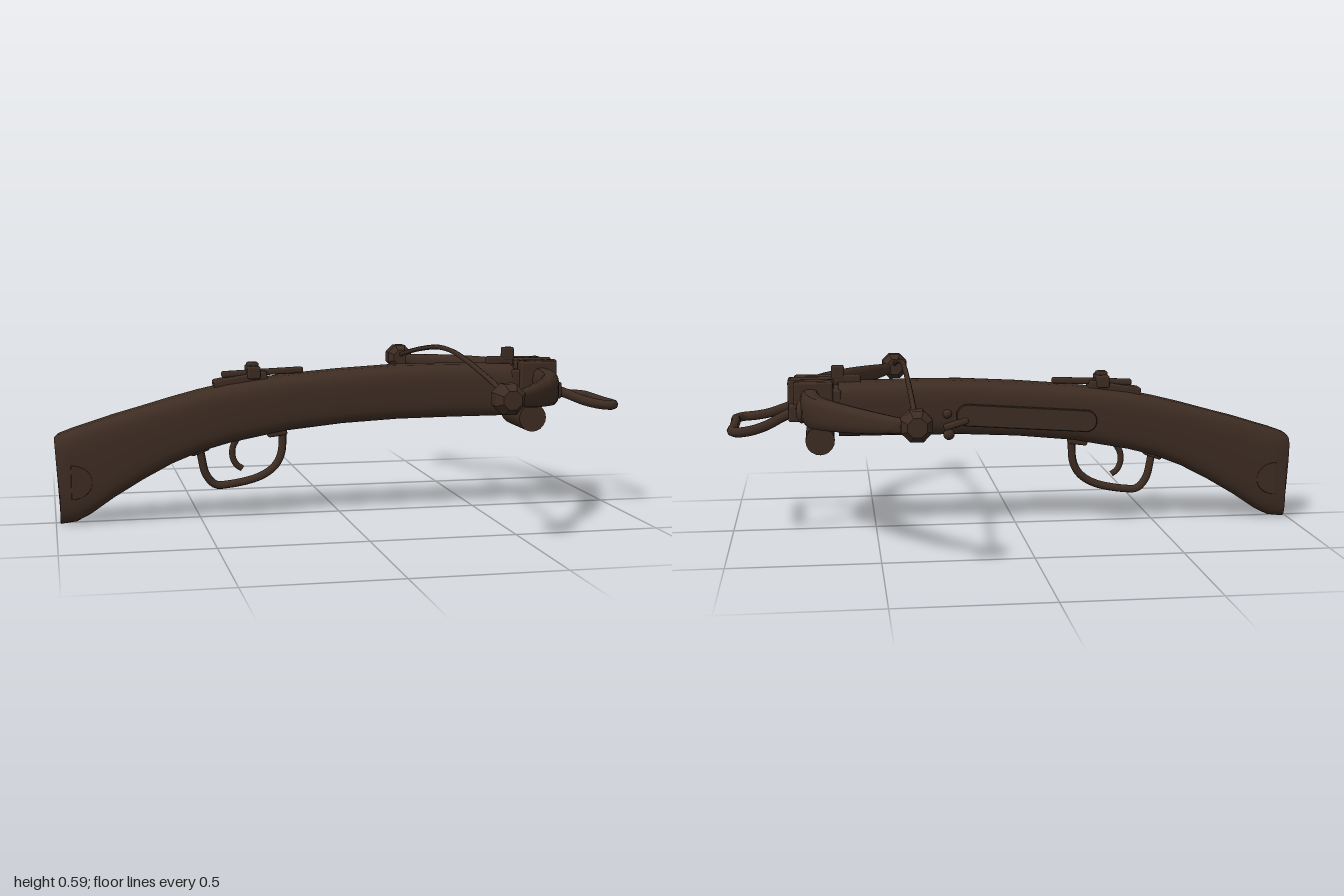
import * as THREE from 'three';
import { toCreasedNormals } from 'three/addons/utils/BufferGeometryUtils.js';
import { RoundedBoxGeometry } from 'three/addons/geometries/RoundedBoxGeometry.js';

const V = (x, y, z) => new THREE.Vector3(x, y, z);
const darkWood = new THREE.MeshStandardMaterial({ color: 0x3d2c22 });

// Closed skin over a row of equal-length rings, with flat end caps
function loft(rings) {
  const n = rings[0].length, pos = [], idx = [];
  rings.forEach(r => r.forEach(p => pos.push(p.x, p.y, p.z)));
  for (let i = 0; i < rings.length - 1; i++) {
    for (let j = 0; j < n; j++) {
      const a = i * n + j, b = i * n + (j + 1) % n;
      idx.push(a, b, a + n, b, b + n, a + n);
    }
  }
  const last = (rings.length - 1) * n;
  for (let j = 1; j < n - 1; j++) {
    idx.push(0, j + 1, j, last, last + j, last + j + 1);
  }
  // Turn the skin outward if its signed volume is negative
  let volume = 0;
  const at = k => V().fromArray(pos, k * 3);
  for (let k = 0; k < idx.length; k += 3) {
    volume += at(idx[k]).dot(at(idx[k + 1]).cross(at(idx[k + 2])));
  }
  if (volume < 0) idx.reverse();
  const g = new THREE.BufferGeometry();
  g.setAttribute('position', new THREE.Float32BufferAttribute(pos, 3));
  g.setIndex(idx);
  return toCreasedNormals(g, 0.7);
}

// Rounded-rectangle outline in the range -1..1
function outline(n, power) {
  return Array.from({ length: n }, (_, i) => {
    const a = (i + 0.5) / n * Math.PI * 2, c = Math.cos(a), s = Math.sin(a);
    return [Math.sign(c) * Math.abs(c) ** power, Math.sign(s) * Math.abs(s) ** power];
  });
}

function tube(points, radius, closed = false, sides = 8) {
  const curve = new THREE.CatmullRomCurve3(points, closed, 'centripetal');
  return new THREE.TubeGeometry(curve, points.length * 5, radius, sides, closed);
}

export function createModel() {
  const model = new THREE.Group();
  const add = (name, geometry, x = 0, y = 0, z = 0) => {
    const m = new THREE.Mesh(geometry, darkWood);
    m.name = name;
    m.position.set(x, y, z);
    model.add(m);
    return m;
  };
  const box = (name, w, h, d, x, y, z, r = 0.008) =>
    add(name, new RoundedBoxGeometry(w, h, d, 2, r), x, y, z);

  // Stock: x, top, bottom, half width
  const stations = [
    [-1, 0.3, 0.03, 0.055], [-0.985, 0.315, 0.003, 0.062], [-0.93, 0.335, 0.01, 0.065],
    [-0.88, 0.35, 0.035, 0.067], [-0.8, 0.375, 0.09, 0.071], [-0.7, 0.402, 0.15, 0.076],
    [-0.6, 0.43, 0.203, 0.081], [-0.5, 0.455, 0.243, 0.085], [-0.4, 0.476, 0.27, 0.087],
    [-0.2, 0.502, 0.308, 0.09], [0, 0.518, 0.328, 0.09], [0.2, 0.529, 0.338, 0.09],
    [0.4, 0.53, 0.34, 0.09], [0.625, 0.527, 0.34, 0.09]];
  const stockShape = outline(28, 0.5);
  add('stock', loft(stations.map(([x, top, low, w], i) => stockShape.map(([u, v]) =>
    V(x + (i === 0 ? 0.008 * (1 - v) : 0), (top + low) / 2 + v * (top - low) / 2, u * w)))));

  // Half-round plates on both sides of the butt
  const half = new THREE.Shape();
  half.moveTo(0, -0.055);
  half.absellipse(0, 0, 0.065, 0.055, -Math.PI / 2, Math.PI / 2, false);
  half.closePath();
  const plate = new THREE.ExtrudeGeometry(half, {
    depth: 0.13, bevelEnabled: true, bevelSize: 0.004, bevelThickness: 0.005,
    bevelSegments: 2, curveSegments: 12 });
  add('buttPlates', plate, -0.943, 0.153, -0.065);

  // Trigger guard and trigger
  const guard = add('triggerGuard', tube([
    V(-0.5, 0.26, 0), V(-0.492, 0.21, 0), V(-0.478, 0.155, 0), V(-0.445, 0.118, 0),
    V(-0.4, 0.117, 0), V(-0.29, 0.14, 0), V(-0.235, 0.175, 0), V(-0.21, 0.22, 0),
    V(-0.203, 0.32, 0)], 0.014));
  guard.scale.z = 1.5;
  box('guardFoot', 0.07, 0.03, 0.045, -0.225, 0.3, 0).rotation.z = 0.12;
  box('guardHeel', 0.07, 0.025, 0.045, -0.5, 0.245, 0).rotation.z = 0.35;
  add('trigger', tube([V(-0.36, 0.29, 0), V(-0.382, 0.25, 0), V(-0.383, 0.215, 0),
    V(-0.37, 0.187, 0), V(-0.35, 0.172, 0)], 0.011));

  // Rear sight
  box('rearSightBase', 0.19, 0.035, 0.068, -0.355, 0.487, 0).rotation.z = 0.17;
  box('rearSightLeaf', 0.29, 0.022, 0.026, -0.275, 0.513, 0).rotation.z = 0.04;
  box('rearSightSlider', 0.045, 0.045, 0.1, -0.31, 0.515, 0);
  box('rearSightNotch', 0.04, 0.045, 0.045, -0.31, 0.527, 0);

  // Long inlaid panel and its little lever on the back side
  const slot = new THREE.Shape();
  slot.absarc(-0.22, 0, 0.036, Math.PI / 2, Math.PI * 1.5, false);
  slot.absarc(0.2, 0, 0.036, -Math.PI / 2, Math.PI / 2, false);
  slot.closePath();
  const panel = add('sidePanel', new THREE.ExtrudeGeometry(slot, {
    depth: 0.012, bevelSize: 0.003, bevelThickness: 0.003, bevelSegments: 1 }),
  -0.02, 0.4, -0.098);
  panel.rotation.z = 0.07;
  box('leverArm', 0.09, 0.022, 0.025, 0.22, 0.385, -0.098).rotation.z = -0.3;
  add('leverKnob', new THREE.SphereGeometry(0.02, 12, 8), 0.245, 0.348, -0.093);
  add('panelPin', new THREE.SphereGeometry(0.016, 10, 8), 0.25, 0.42, -0.092);

  // Bow: centre line and (half thickness, low, high) along one arm, mirrored in z
  const arm = [
    [0, 0.72, 0.036, 0.398, 0.52], [0.2, 0.712, 0.034, 0.4, 0.516],
    [0.35, 0.657, 0.031, 0.413, 0.515], [0.5, 0.565, 0.026, 0.43, 0.511],
    [0.6, 0.487, 0.021, 0.445, 0.506], [0.69, 0.405, 0.014, 0.463, 0.5]];
  const full = [...arm.slice(1).reverse().map(([z, ...r]) => [-z, ...r]), ...arm];
  const line = new THREE.CatmullRomCurve3(full.map(a => V(a[1], 0, a[0])));
  const size = new THREE.CatmullRomCurve3(full.map(a => V(a[2], a[3], a[4])));
  const bowShape = outline(14, 0.65), rings = [];
  for (let i = 0; i <= 40; i++) {
    const c = line.getPoint(i / 40), t = line.getTangent(i / 40), s = size.getPoint(i / 40);
    rings.push(bowShape.map(([u, v]) => V(c.x + t.z * u * s.x,
      (s.y + s.z) / 2 + v * (s.z - s.y) / 2, c.z - t.x * u * s.x)));
  }
  add('bow', loft(rings));

  // Faceted knobs on the bow tips
  const knob = toCreasedNormals(new THREE.LatheGeometry([[0, -0.052], [0.032, -0.052],
    [0.052, -0.025], [0.052, 0.02], [0.032, 0.045], [0, 0.045]]
    .map(p => new THREE.Vector2(...p)), 8), 0.3);
  knob.rotateY(Math.PI / 8);
  for (const s of [-1, 1]) {
    const tip = add(s > 0 ? 'leftBowTip' : 'rightBowTip', knob, 0.395, 0.488, s * 0.705);
    tip.rotation.x = -s * Math.PI / 2;
  }

  // String, lifted over the top of the stock
  add('string', tube([V(0.395, 0.495, -0.7), V(0.395, 0.53, -0.5), V(0.395, 0.565, -0.25),
    V(0.395, 0.58, -0.09), V(0.395, 0.58, 0.09), V(0.395, 0.565, 0.25),
    V(0.395, 0.53, 0.5), V(0.395, 0.495, 0.7)], 0.009));

  // Clamp holding the bow to the stock
  box('clampCore', 0.15, 0.11, 0.18, 0.69, 0.455, 0);
  box('clampRib', 0.15, 0.14, 0.026, 0.715, 0.475, 0);
  for (const s of [-1, 1]) {
    box('clampCheek', 0.135, 0.135, 0.05, 0.71, 0.473, s * 0.084);
    box('clampBand', 0.16, 0.145, 0.026, 0.718, 0.468, s * 0.037);
    // Rounded ear beside the clamp
    const ear = add('clampEar', new THREE.SphereGeometry(0.045, 16, 10), 0.75, 0.445, s * 0.13);
    ear.scale.set(0.45, 0.9, 0.9);
    box('stirrupSocket', 0.06, 0.06, 0.05, 0.765, 0.435, s * 0.09);
  }
  const roller = add('roller', new THREE.CylinderGeometry(0.05, 0.05, 0.21, 20), 0.69, 0.337, 0);
  roller.rotation.x = Math.PI / 2;

  // Foot stirrup: an open loop that dips toward the front
  const side = [[0.77, 0.44, 0.085], [0.81, 0.425, 0.095], [0.87, 0.4, 0.135],
    [0.92, 0.388, 0.16], [0.96, 0.384, 0.166], [0.983, 0.383, 0.14], [0.983, 0.383, 0.06]];
  add('stirrup', tube([...side.map(p => V(...p)),
    ...side.map(([x, y, z]) => V(x, y, -z)).reverse()], 0.017));

  // Front sight
  box('frontSightBase', 0.1, 0.035, 0.026, 0.595, 0.535, 0);
  box('frontSightPost', 0.045, 0.05, 0.028, 0.625, 0.56, 0);

  return model;
}
